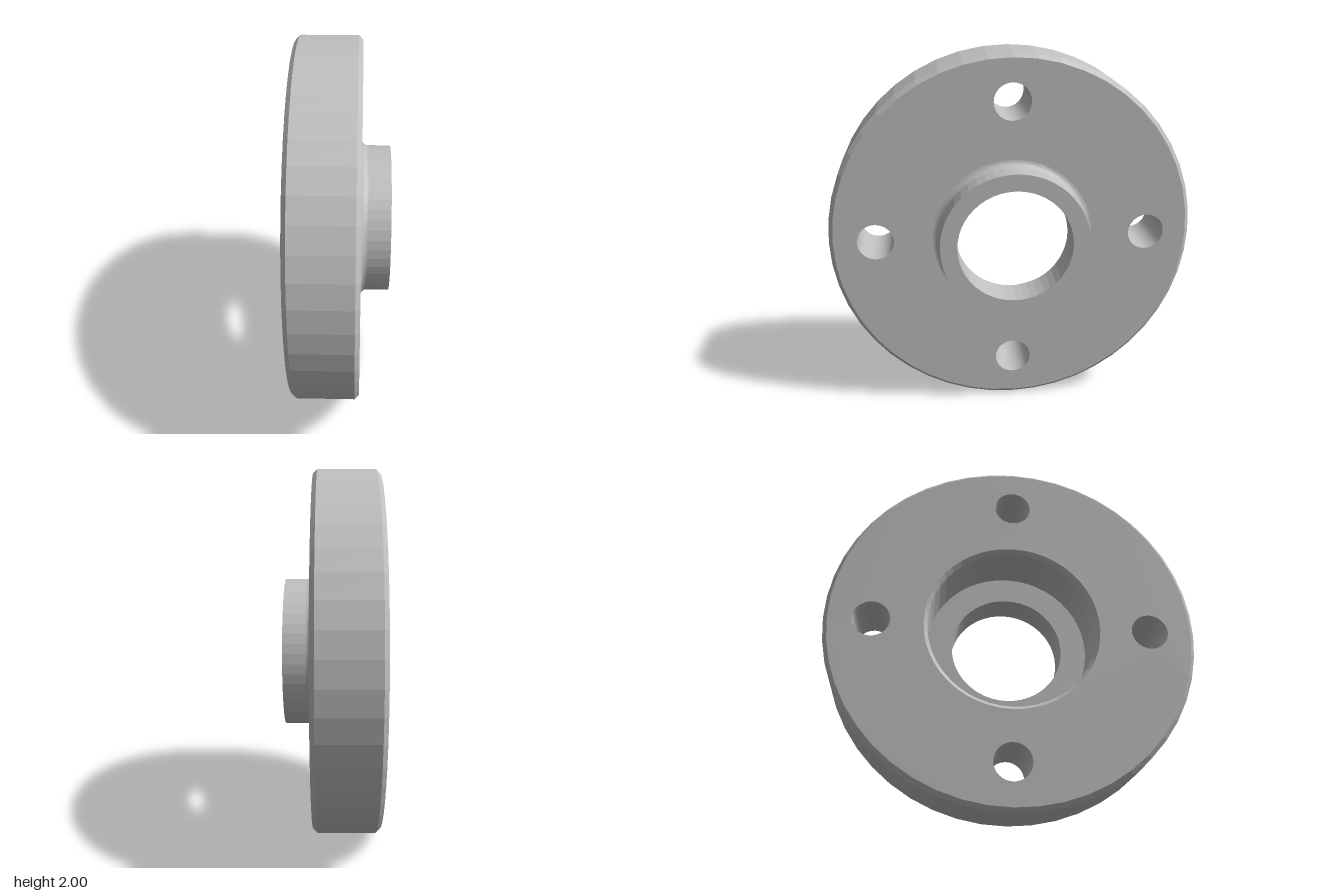
import * as THREE from 'three';
import { toCreasedNormals } from 'three/addons/utils/BufferGeometryUtils.js';

const SEGMENTS = 48;
const BACK = -0.255, FACE = 0.1, END = 0.255; // stations along the axis
const SHELF = 0.06, CHAMFER = 0.023;
const RIM = 1, HUB = 0.405, BORE = 0.313, RECESS = 0.455, FILLET = 0.035;
const BOLT_CIRCLE = 0.75, BOLT_RADIUS = 0.1;

// Surface turned about z from [radius, z] pairs; rising z faces out, falling z faces in
function turned(profile, crease = 0.01, segments = SEGMENTS) {
  const points = profile.map(([r, z]) => new THREE.Vector2(r, z));
  const geometry = new THREE.LatheGeometry(points, segments).rotateX(Math.PI / 2);
  return toCreasedNormals(geometry, crease);
}

function circle(radius, segments, cx = 0, cy = 0) {
  return Array.from({ length: segments }, (_, i) => {
    const a = (i / segments) * Math.PI * 2;
    return new THREE.Vector2(cx + radius * Math.cos(a), cy + radius * Math.sin(a));
  });
}

const boltCentres = [0, 1, 2, 3].map((i) => [
  BOLT_CIRCLE * Math.cos((i * Math.PI) / 2),
  BOLT_CIRCLE * Math.sin((i * Math.PI) / 2),
]);

// Flat ring pierced by the bolt holes
function drilledFace(innerRadius) {
  const shape = new THREE.Shape(circle(RIM - CHAMFER, SEGMENTS));
  shape.holes.push(new THREE.Path(circle(innerRadius, SEGMENTS)));
  for (const [x, y] of boltCentres) shape.holes.push(new THREE.Path(circle(BOLT_RADIUS, 32, x, y)));
  return new THREE.ShapeGeometry(shape);
}

export function createModel() {
  const steel = new THREE.MeshStandardMaterial({ color: 0xc0c0c0 });
  steel.name = 'steel grey';

  const model = new THREE.Group();
  model.name = 'pipeFlange';
  const add = (name, geometry) => {
    const mesh = new THREE.Mesh(geometry, steel);
    mesh.name = name;
    model.add(mesh);
    return mesh;
  };

  // Rim with chamfers on both edges
  add('rim', turned([
    [RIM - CHAMFER, BACK], [RIM, BACK + CHAMFER], [RIM, FACE - CHAMFER], [RIM - CHAMFER, FACE],
  ]));

  // Drilled faces
  add('hubSideFace', drilledFace(HUB + FILLET)).position.z = FACE;
  const back = add('recessSideFace', drilledFace(RECESS + 0.02));
  back.rotation.y = Math.PI;
  back.position.z = BACK;

  // Rounded foot of the hub
  const foot = [];
  for (let i = 0; i <= 6; i++) {
    const a = (i / 6) * (Math.PI / 2);
    foot.push([HUB + FILLET * (1 - Math.sin(a)), FACE + FILLET * (1 - Math.cos(a))]);
  }
  add('hubFillet', turned(foot, 0.6));

  // Hub wall, end ring, through bore, shelf and chamfered recess
  add('hubAndBore', turned([
    [HUB, FACE + FILLET], [HUB, END], [BORE, END], [BORE, SHELF],
    [RECESS, SHELF], [RECESS, BACK + 0.02], [RECESS + 0.02, BACK],
  ]));

  // Walls of the bolt holes
  for (const [x, y] of boltCentres) {
    const wall = add('boltHole', turned([[BOLT_RADIUS, FACE], [BOLT_RADIUS, BACK]], 0.5, 32));
    wall.position.set(x, y, 0);
  }

  // Turn the axis to +x and stand the rim on the ground
  model.rotation.y = Math.PI / 2;
  model.position.y = RIM;
  return model;
}
